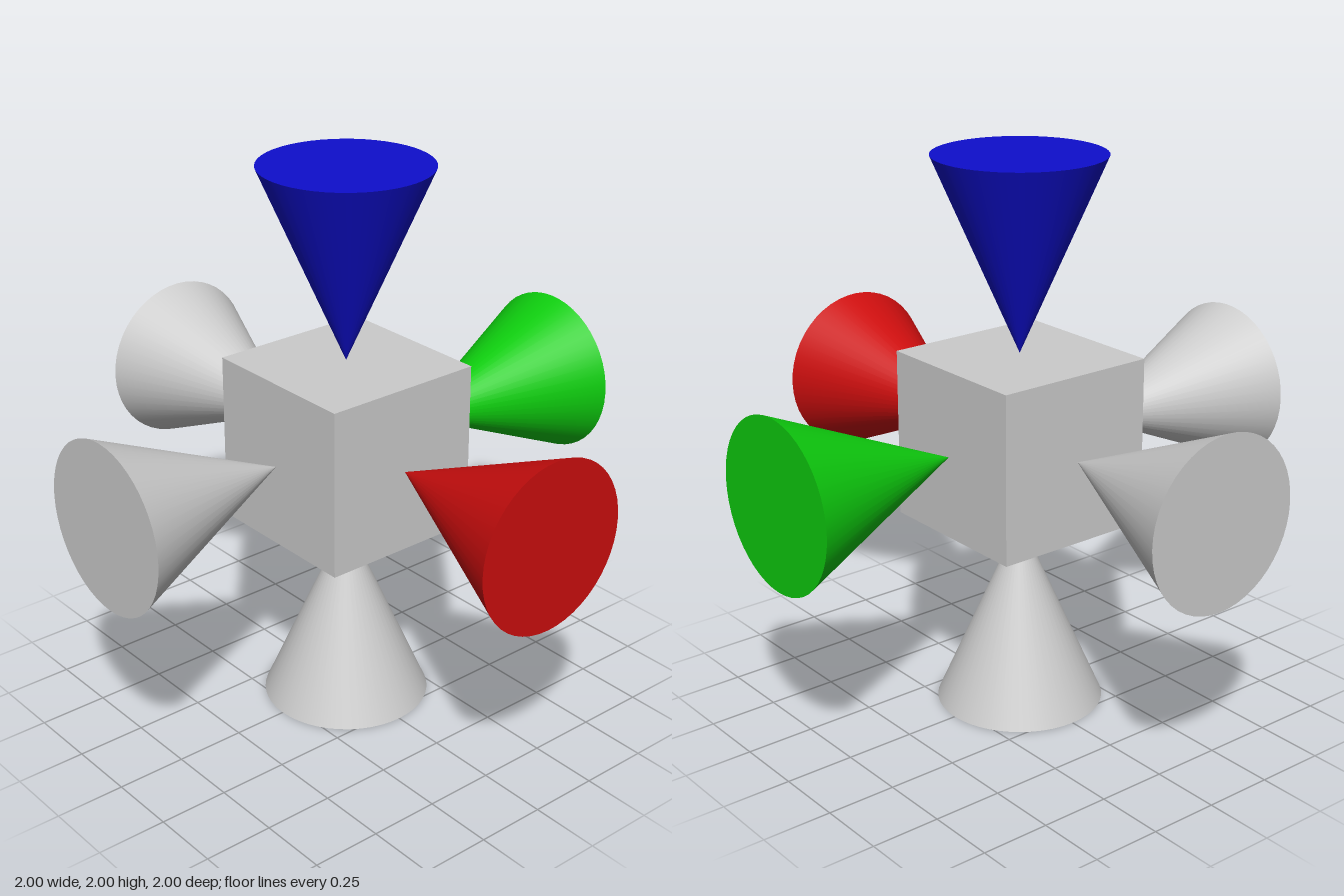
import * as THREE from 'three';

const CUBE = 0.605, RADIUS = 0.3, TIP = 0.31, END = 1;

export function createModel() {
  const model = new THREE.Group();
  model.name = 'axisGizmo';
  const material = (color) => new THREE.MeshStandardMaterial({ color });
  const grey = material(0xcccccc);

  // Central cube
  const cube = new THREE.Mesh(new THREE.BoxGeometry(CUBE, CUBE, CUBE), grey);
  cube.name = 'centreCube';
  cube.position.y = END;
  model.add(cube);

  // Six cones, tips pointing at the cube's faces
  const length = END - TIP;
  const coneGeometry = new THREE.ConeGeometry(RADIUS, length, 48);
  const up = new THREE.Vector3(0, 1, 0);
  const cones = [
    ['leftCone', [1, 0, 0], material(0xcc0e0e)],
    ['rightCone', [-1, 0, 0], grey],
    ['topCone', [0, 1, 0], material(0x0e0ecc)],
    ['bottomCone', [0, -1, 0], grey],
    ['frontCone', [0, 0, 1], grey],
    ['backCone', [0, 0, -1], material(0x0ecc0e)],
  ];
  for (const [name, axis, mat] of cones) {
    const direction = new THREE.Vector3(...axis);
    const cone = new THREE.Mesh(coneGeometry, mat);
    cone.name = name;
    cone.quaternion.setFromUnitVectors(up, direction.clone().negate());
    cone.position.copy(cube.position).addScaledVector(direction, TIP + length / 2);
    model.add(cone);
  }
  return model;
}
